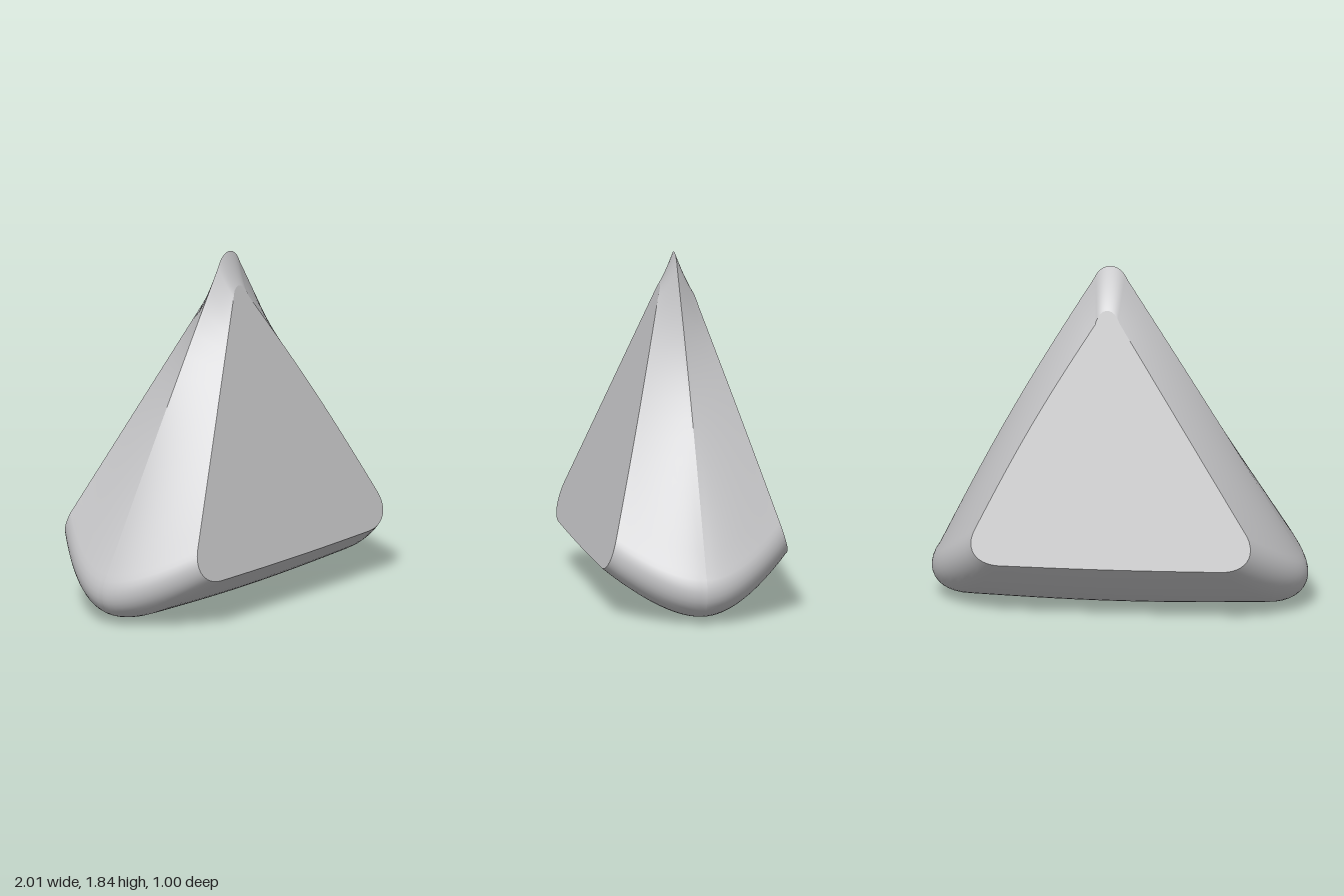
import * as THREE from 'three';

const CORNER = 12, EDGE = 14, ROWS = 12;

// Rounded triangle: three cubic corners (lower left, lower right, top) joined by slightly bowed edges
function rimLoop(corners, bows) {
  const pts = [];
  corners.forEach((c, k) => {
    const curve = new THREE.CubicBezierCurve(...c.map(p => new THREE.Vector2(...p)));
    pts.push(...curve.getPoints(CORNER));
    const a = curve.v3, b = new THREE.Vector2(...corners[(k + 1) % 3][0]);
    const out = new THREE.Vector2(b.y - a.y, a.x - b.x).normalize();
    for (let i = 1; i < EDGE; i++) {
      const t = i / EDGE;
      pts.push(a.clone().lerp(b, t).addScaledVector(out, bows[k] * Math.sin(Math.PI * t)));
    }
  });
  return pts;
}

const mirror = corner => corner.map(([x, y]) => [-x, y]).reverse();

function buildGeometry(positions, index) {
  const g = new THREE.BufferGeometry();
  g.setAttribute('position', new THREE.Float32BufferAttribute(positions, 3));
  g.setIndex(index);
  g.computeVertexNormals();
  return g;
}

// Flat sloping face filling a rim
function faceGeometry(rim, front) {
  const n = rim.length, centre = new THREE.Vector3(), index = [];
  rim.forEach(p => centre.addScaledVector(p, 1 / n));
  for (let i = 0; i < n; i++) {
    const j = (i + 1) % n;
    index.push(n, front ? i : j, front ? j : i);
  }
  return buildGeometry([...rim, centre].flatMap(p => p.toArray()), index);
}

// Bevel from a face rim to the middle outline: round at the base, pinched to a ridge at the tip
function bevelGeometry(rim, outline, front) {
  const n = rim.length, positions = [], index = [];
  const arcs = rim.map((f, i) => {
    const e = new THREE.Vector3(outline[i].x, outline[i].y, 0);
    const bulge = 1 - 1.3 * THREE.MathUtils.smoothstep(e.y, 0.2, 1.85);
    const round = new THREE.Vector3(e.x, e.y, f.z * 0.4);
    const control = f.clone().lerp(e, 0.5).lerp(round, bulge);
    return new THREE.QuadraticBezierCurve3(f, control, e);
  });
  for (let r = 0; r <= ROWS; r++) {
    for (let i = 0; i < n; i++) {
      positions.push(...arcs[i].getPoint(r / ROWS).toArray());
      if (r === ROWS) continue;
      const j = (i + 1) % n;
      const a = r * n + i, b = r * n + j, c = b + n, d = a + n;
      if (front) index.push(a, d, b, b, d, c);
      else index.push(a, b, d, b, c, d);
    }
  }
  return buildGeometry(positions, index);
}

export function createModel() {
  const group = new THREE.Group();
  group.name = 'wedgeStone';
  const stone = new THREE.MeshStandardMaterial({ color: 0xc4c4c6 });
  stone.name = 'pale grey';

  // Widest outline, in the middle plane
  const foot = [[-0.965, 0.28], [-1.06, 0.15], [-0.98, 0.02], [-0.8, 0.02]];
  const outline = rimLoop(
    [foot, mirror(foot), [[0.14, 1.77], [0.1, 1.868], [0, 1.868], [-0.04, 1.77]]],
    [0.02, 0.025, 0.005]);

  // Rims of the two flat faces
  const frontFoot = [[-0.75, 0.44], [-0.8, 0.34], [-0.74, 0.265], [-0.62, 0.26]];
  const backFoot = [[-0.73, 0.49], [-0.78, 0.39], [-0.72, 0.315], [-0.6, 0.31]];
  const sides = [
    { name: 'front', front: true, foot: frontFoot,
      tip: [[0.1, 1.6], [0.08, 1.69], [0.01, 1.69], [-0.02, 1.62]],
      z: y => 0.5 - 0.3 * (y - 0.26) },
    { name: 'back', front: false, foot: backFoot,
      tip: [[0.12, 1.55], [0.1, 1.645], [0.02, 1.645], [-0.01, 1.56]],
      z: y => -0.5 + 0.305 * (y - 0.31) },
  ];

  for (const s of sides) {
    const rim = rimLoop([s.foot, mirror(s.foot), s.tip], [0.005, 0.02, 0])
      .map(p => new THREE.Vector3(p.x, p.y, s.z(p.y)));
    const face = new THREE.Mesh(faceGeometry(rim, s.front), stone);
    face.name = s.name + 'Face';
    const bevel = new THREE.Mesh(bevelGeometry(rim, outline, s.front), stone);
    bevel.name = s.name + 'Bevel';
    group.add(face, bevel);
  }
  return group;
}
